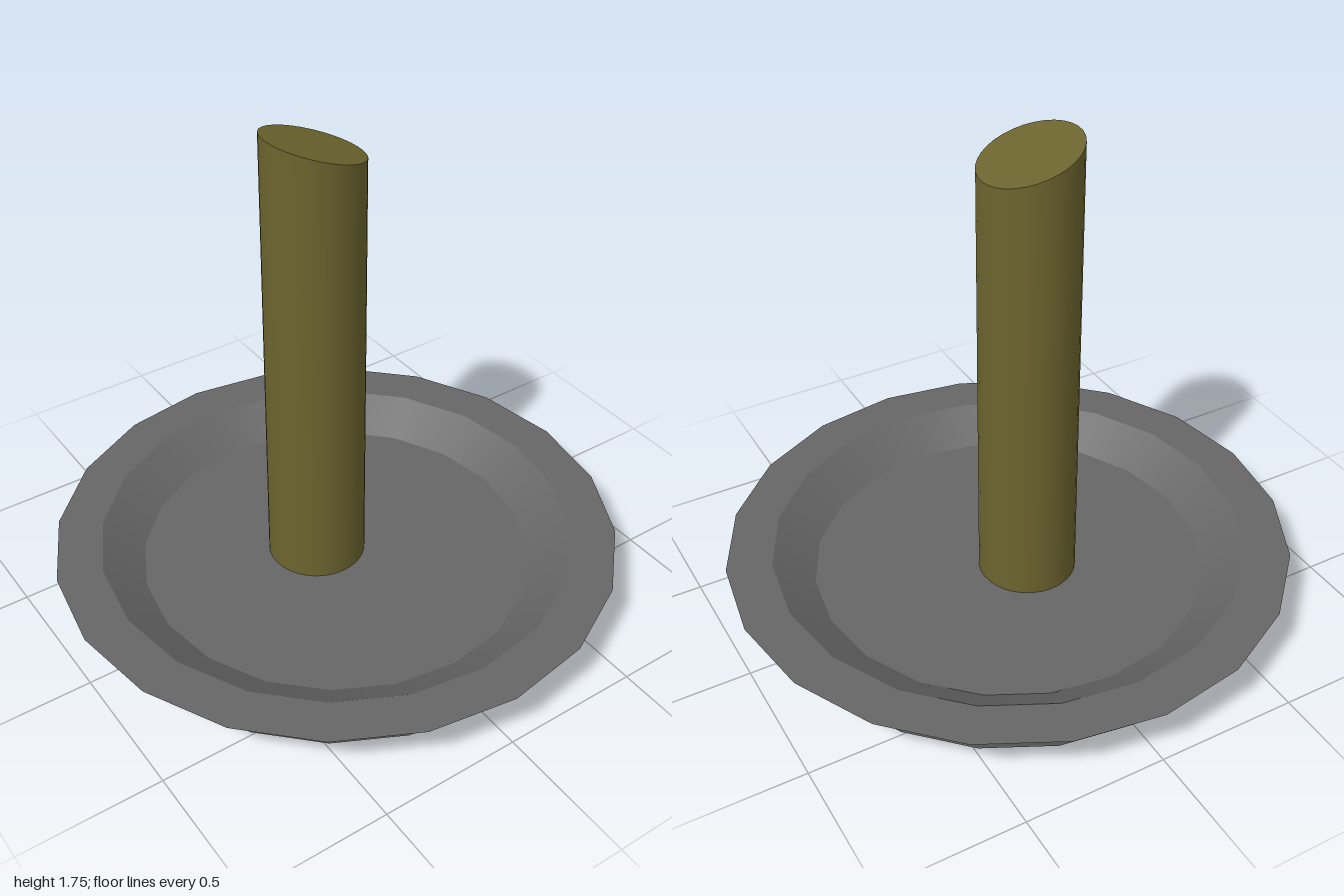
import * as THREE from 'three';

const SIDES = 20;

export function createModel() {
  const model = new THREE.Group();
  const grey = new THREE.MeshStandardMaterial({ color: 0x666666 });
  grey.name = 'dark grey';
  const olive = new THREE.MeshStandardMaterial({ color: 0x6b642e });
  olive.name = 'olive';

  // Dish: each band is turned separately so the edges between them stay sharp
  const dish = new THREE.Group();
  dish.name = 'dish';
  const bands = {
    underside: [[0, 0], [0.83, 0]],
    outerWall: [[0.83, 0], [0.83, 0.08], [1, 0.2]],
    rim: [[1, 0.2], [0.84, 0.2]],
    innerWall: [[0.84, 0.2], [0.695, 0.1]],
    floor: [[0.695, 0.1], [0, 0.1]],
  };
  for (const [name, profile] of Object.entries(bands)) {
    const points = profile.map(([r, y]) => new THREE.Vector2(r, y));
    const band = new THREE.Mesh(new THREE.LatheGeometry(points, SIDES), grey);
    band.name = name;
    dish.add(band);
  }
  model.add(dish);

  // Post: slightly tapered cylinder with its top cut at a slant
  const base = 0.1, height = 1.597, slope = -0.32;
  const geometry = new THREE.CylinderGeometry(0.168, 0.173, height, 32);
  geometry.translate(0, height / 2, 0);
  const pos = geometry.attributes.position;
  const normal = geometry.attributes.normal;
  const capNormal = new THREE.Vector3(-slope, 1, 0).normalize();
  for (let i = 0; i < pos.count; i++) {
    if (pos.getY(i) < height / 2) continue;
    pos.setY(i, pos.getY(i) + slope * pos.getX(i));
    if (normal.getY(i) > 0.9) normal.setXYZ(i, capNormal.x, capNormal.y, capNormal.z);
  }
  const post = new THREE.Mesh(geometry, olive);
  post.name = 'post';
  post.position.set(-0.046, base, -0.056);
  model.add(post);

  return model;
}
